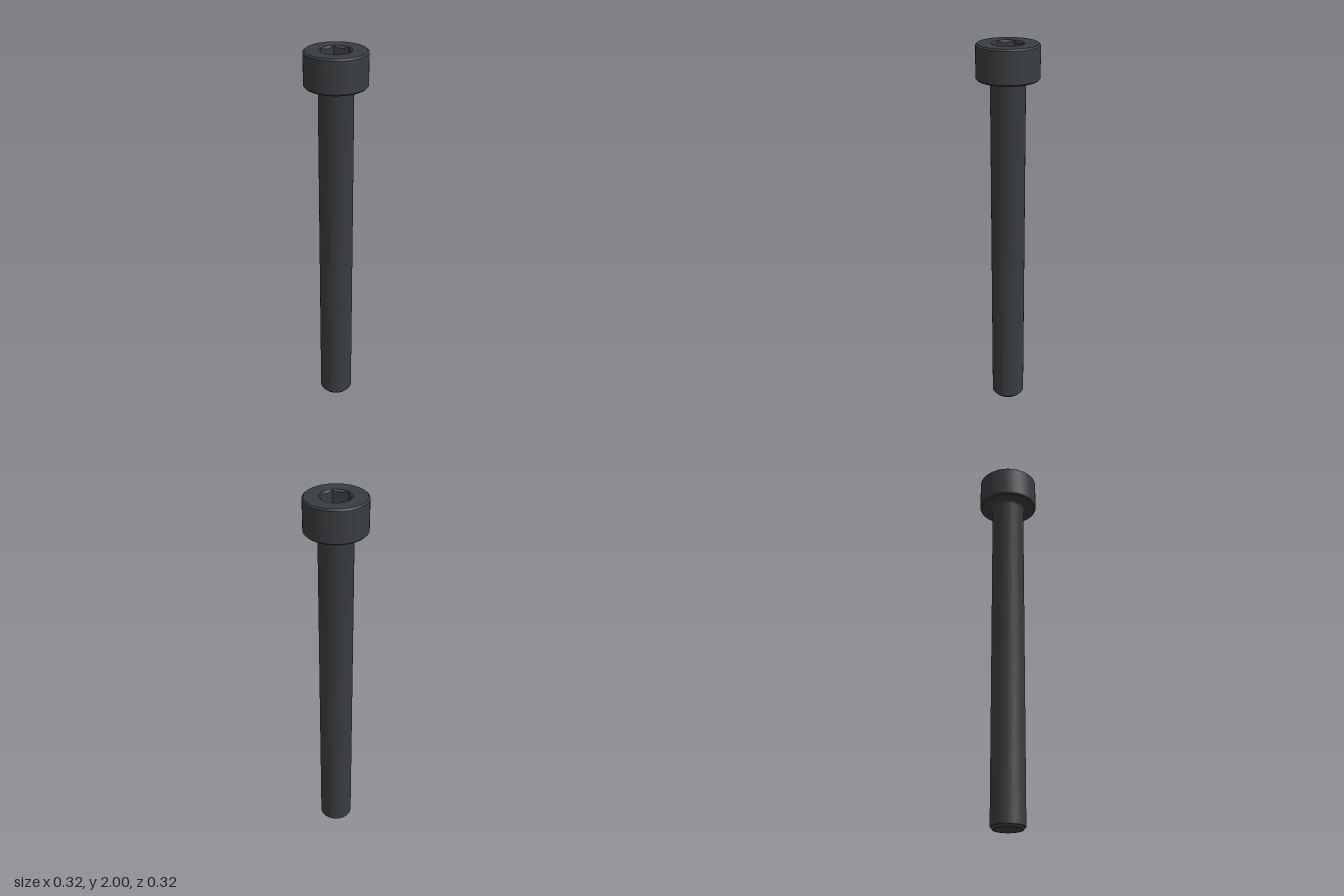
import * as THREE from 'three';
import { toCreasedNormals } from 'three/addons/utils/BufferGeometryUtils.js';

const SEGMENTS = 48; // a multiple of 6, so the hex corners fall on vertices
const SOCKET_R = 0.08; // hex corner radius and countersink rim radius

const lathe = (profile) =>
  new THREE.LatheGeometry(profile.map(([r, y]) => new THREE.Vector2(r, y)), SEGMENTS);

// Distance from the axis to a hexagon with corners on the x axis
function hexRadius(angle) {
  const sector = Math.PI / 3;
  const local = angle - Math.round(angle / sector) * sector; // measured from nearest flat
  return (SOCKET_R * Math.cos(Math.PI / 6)) / Math.cos(local);
}

// Hex recess: conical countersink, six walls and a flat floor
function socketGeometry(top, depth) {
  const geometry = lathe([
    [SOCKET_R, top], [SOCKET_R, top], [SOCKET_R, top - depth], [0, top - depth],
  ]);
  const pos = geometry.attributes.position;
  for (let i = 0; i < pos.count; i++) {
    const ring = i % 4;
    if (ring !== 1 && ring !== 2) continue;
    const angle = (Math.floor(i / 4) / SEGMENTS) * Math.PI * 2;
    const r = hexRadius(angle);
    const y = ring === 1 ? top - (SOCKET_R - r) : top - depth;
    pos.setXYZ(i, r * Math.sin(angle), y, r * Math.cos(angle));
  }
  return geometry;
}

export function createModel() {
  const model = new THREE.Group();
  model.name = 'socketHeadScrew';
  const material = new THREE.MeshStandardMaterial({ color: 0x3a3d40 });

  const add = (name, geometry) => {
    const mesh = new THREE.Mesh(toCreasedNormals(geometry, 0.5), material);
    mesh.name = name;
    model.add(mesh);
  };

  // Shank with chamfered tip and a small fillet under the head
  const fillet = [];
  for (let i = 0; i <= 4; i++) {
    const a = (i / 4) * Math.PI / 2;
    fillet.push([0.102 - 0.014 * Math.cos(a), 1.811 + 0.014 * Math.sin(a)]);
  }
  add('shank', lathe([[0, 0], [0.075, 0], [0.088, 0.015], ...fillet]));

  // Cylindrical head with bevelled edges, open over the socket
  add('head', lathe([
    [0.102, 1.825], [0.15, 1.825], [0.158, 1.833],
    [0.158, 1.992], [0.15, 2], [SOCKET_R, 2],
  ]));

  add('hexSocket', socketGeometry(2, 0.09));
  return model;
}
